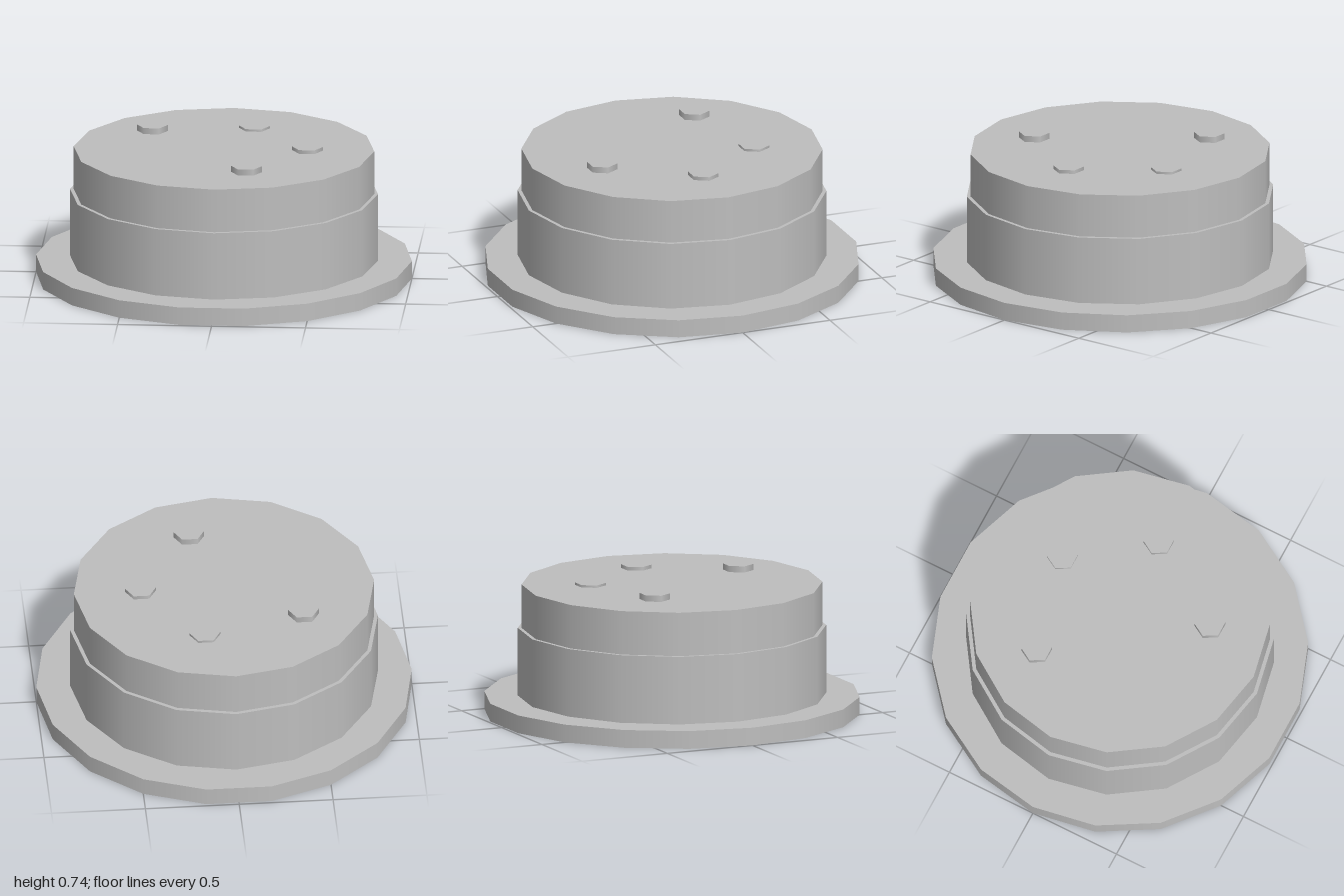
import * as THREE from 'three';

export function createModel() {
  const model = new THREE.Group();
  const metal = new THREE.MeshStandardMaterial({ color: 0xbebebe });
  metal.name = 'greyMetal';

  // Upright prism between two heights, with a corner on the x axis
  function disc(name, radius, bottom, top, sides, x = 0, z = 0) {
    const geometry = new THREE.CylinderGeometry(
      radius, radius, top - bottom, sides, 1, false, Math.PI / 2);
    const mesh = new THREE.Mesh(geometry, metal);
    mesh.name = name;
    mesh.position.set(x, (bottom + top) / 2, z);
    model.add(mesh);
  }

  // Wide foot and the two stacked drums
  disc('baseFlange', 1, 0, 0.096, 18);
  disc('lowerDrum', 0.82, 0.096, 0.462, 16);
  disc('upperDrum', 0.8, 0.462, 0.697, 16);

  // Hexagonal bolt heads, set at uneven heights: x, z, top
  const bolts = [
    [-0.4, -0.29, 0.741],
    [0.135, -0.415, 0.71],
    [0.445, 0, 0.717],
    [0.15, 0.46, 0.735],
  ];
  bolts.forEach(([x, z, top], i) =>
    disc(`bolt${i + 1}`, 0.082, top - 0.033, top, 6, x, z));

  return model;
}
